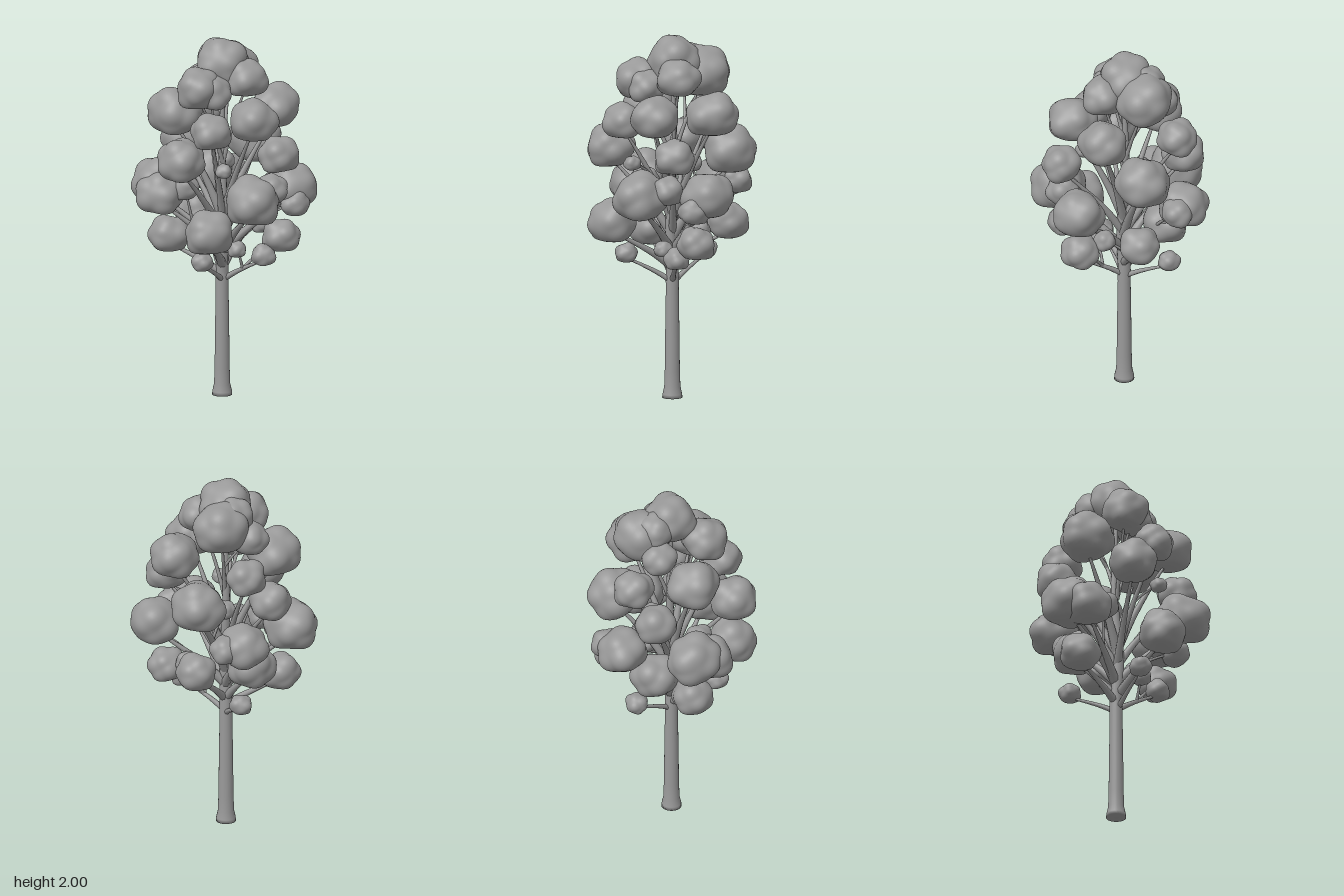
import * as THREE from 'three';
import { mergeVertices } from 'three/addons/utils/BufferGeometryUtils.js';

const V = (x, y, z) => new THREE.Vector3(x, y, z);

// Seeded random numbers in 0..1
function seeded(seed) {
  let s = seed * 7919 + 17;
  return () => {
    s = (s * 16807) % 2147483647;
    return s / 2147483647;
  };
}

// Tube whose radius shrinks from r0 to r1 along the curve
function taperedTube(curve, r0, r1, segments = 12, sides = 8) {
  const geo = new THREE.TubeGeometry(curve, segments, 1, sides);
  const pos = geo.attributes.position;
  const p = V(0, 0, 0);
  for (let i = 0; i <= segments; i++) {
    const c = curve.getPointAt(i / segments);
    const r = r0 + (r1 - r0) * (i / segments);
    for (let j = 0; j <= sides; j++) {
      const k = i * (sides + 1) + j;
      p.fromBufferAttribute(pos, k).sub(c).multiplyScalar(r).add(c);
      pos.setXYZ(k, p.x, p.y, p.z);
    }
  }
  geo.computeBoundingSphere();
  return geo;
}

// Rounded foliage clump: a ball softly blended with lobes, flattened underneath
function clumpGeometry(r, seed) {
  const rand = seeded(seed);
  const lobes = [];
  const count = 11;
  for (let i = 0; i < count; i++) {
    const y = 0.95 - (1.7 * (i + 0.5 * rand())) / count;
    const a = i * 2.4 + seed + rand() * 0.8;
    const h = Math.sqrt(1 - y * y);
    lobes.push({
      c: V(h * Math.cos(a), y, h * Math.sin(a)).multiplyScalar(0.53),
      s: 0.4 + 0.13 * rand(),
    });
  }
  let geo = new THREE.IcosahedronGeometry(1, r > 0.08 ? 9 : 6);
  geo.deleteAttribute('normal');
  geo.deleteAttribute('uv');
  geo = mergeVertices(geo, 1e-4);
  const pos = geo.attributes.position;
  const d = V(0, 0, 0);
  const blend = 20;
  for (let i = 0; i < pos.count; i++) {
    d.fromBufferAttribute(pos, i).normalize();
    let sum = Math.exp(blend * 0.87);
    for (const { c, s } of lobes) {
      const along = d.dot(c);
      const q = s * s - c.lengthSq() + along * along;
      if (along > 0 && q > 0) sum += Math.exp(blend * (along + Math.sqrt(q)));
    }
    d.multiplyScalar(Math.log(sum) / blend);
    if (d.y < -0.65) d.y = -0.65 + (d.y + 0.65) * 0.5;
    pos.setXYZ(i, d.x * r * 1.07, d.y * r * 1.04, d.z * r * 1.07);
  }
  geo.computeVertexNormals();
  return geo;
}

// Foliage clumps: x, y, z, radius
const CLUMPS = [
  // crown
  [-0.01, 1.855, -0.01, 0.14], [-0.05, 1.78, -0.16, 0.155], [-0.05, 1.74, 0.18, 0.122],
  [0.02, 1.72, 0.15, 0.1], [0.13, 1.78, -0.02, 0.115], [-0.1, 1.84, -0.09, 0.1],
  [-0.18, 1.71, -0.08, 0.1],
  // upper tier
  [-0.24, 1.57, 0.1, 0.14], [0.08, 1.54, 0.27, 0.108], [0.25, 1.59, 0.12, 0.13],
  [0.21, 1.59, -0.2, 0.132], [-0.22, 1.54, -0.22, 0.105],
  // middle tier
  [-0.31, 1.37, -0.1, 0.115], [-0.08, 1.37, 0.33, 0.128], [0.355, 1.39, 0.02, 0.107],
  [0.13, 1.32, 0.23, 0.045], [0.03, 1.36, -0.31, 0.145], [-0.05, 1.28, -0.11, 0.055],
  // broad tier
  [-0.345, 1.16, 0.1, 0.145], [-0.28, 1.13, 0.19, 0.125], [-0.16, 1.17, 0.14, 0.08],
  [0.29, 1.16, 0.2, 0.145], [0.33, 1.2, 0.06, 0.09], [0.345, 1.17, -0.16, 0.138],
  [0.4, 1.1, -0.08, 0.08], [-0.23, 1.16, -0.28, 0.13], [-0.16, 1.16, -0.36, 0.085],
  // lower tier
  [0.1, 0.99, 0.335, 0.13], [0.04, 0.97, -0.3, 0.11], [-0.2, 0.97, -0.1, 0.125],
  [0.3, 0.9, -0.1, 0.1], [-0.28, 0.88, 0.1, 0.11], [0.25, 0.81, 0, 0.065],
  [0.17, 0.95, -0.13, 0.06], [-0.18, 0.78, -0.2, 0.06], [0.01, 0.8, 0.25, 0.06],
  [0.12, 0.84, 0.06, 0.05],
];

export function createModel() {
  const tree = new THREE.Group();
  tree.name = 'tree';
  const grey = new THREE.MeshStandardMaterial({ color: 0x999999 });
  grey.name = 'grey';
  const add = (name, geo, parent) => {
    const mesh = new THREE.Mesh(geo, grey);
    mesh.name = name;
    parent.add(mesh);
    return mesh;
  };

  // Trunk with a flared foot
  const profile = [
    [0, 0], [0.055, 0], [0.053, 0.02], [0.044, 0.06], [0.041, 0.15],
    [0.038, 0.4], [0.035, 0.6], [0.036, 0.66], [0.033, 0.74],
  ].map(([r, y]) => new THREE.Vector2(r, y));
  add('trunk', new THREE.LatheGeometry(profile, 20), tree).position.x = -0.005;

  // Leader running up into the crown
  const leader = new THREE.CatmullRomCurve3([
    V(-0.005, 0.68, 0), V(0.005, 0.95, 0.01), V(-0.01, 1.3, -0.01), V(0, 1.85, 0),
  ]);
  add('leader', taperedTube(leader, 0.036, 0.008, 24, 10), tree);

  const branches = new THREE.Group();
  branches.name = 'branches';
  const foliage = new THREE.Group();
  foliage.name = 'foliage';
  tree.add(branches, foliage);

  // Main limbs sweep out of the leader to the big clumps
  const limbs = [];
  const isBig = ([, y, , r]) => r > 0.1 || y < 0.83;
  for (const [x, y, z, r] of CLUMPS.filter(isBig)) {
    const startY = y > 1.7 ? 1.3 : 0.63 + (y - 0.78) * 0.45;
    const end = y - r * 0.4;
    const rise = end - startY;
    const limb = new THREE.CatmullRomCurve3([
      V(0, startY, 0),
      V(x * 0.3, startY + rise * 0.36, z * 0.3),
      V(x * 0.65, startY + rise * 0.7, z * 0.65),
      V(x, end, z),
    ]);
    limbs.push(limb);
    add('limb', taperedTube(limb, y > 1.7 ? 0.013 : 0.008 + r * 0.14, 0.006), branches);
  }

  // Side branches fork from the nearest limb to the small clumps
  for (const [x, y, z] of CLUMPS.filter((c) => !isBig(c))) {
    const tip = V(x, y, z);
    const gap = (limb) => limb.getPointAt(1).distanceTo(tip);
    const limb = limbs.reduce((a, b) => (gap(b) < gap(a) ? b : a));
    const from = limb.getPointAt(0.5);
    const mid = from.clone().lerp(tip, 0.5).add(V(0, 0.02, 0));
    const fork = new THREE.QuadraticBezierCurve3(from, mid, tip);
    add('sideBranch', taperedTube(fork, 0.01, 0.005, 8, 6), branches);
  }

  // Foliage
  CLUMPS.forEach(([x, y, z, r], i) => {
    add('foliageClump', clumpGeometry(r, i + 1), foliage).position.set(x, y, z);
  });

  return tree;
}
